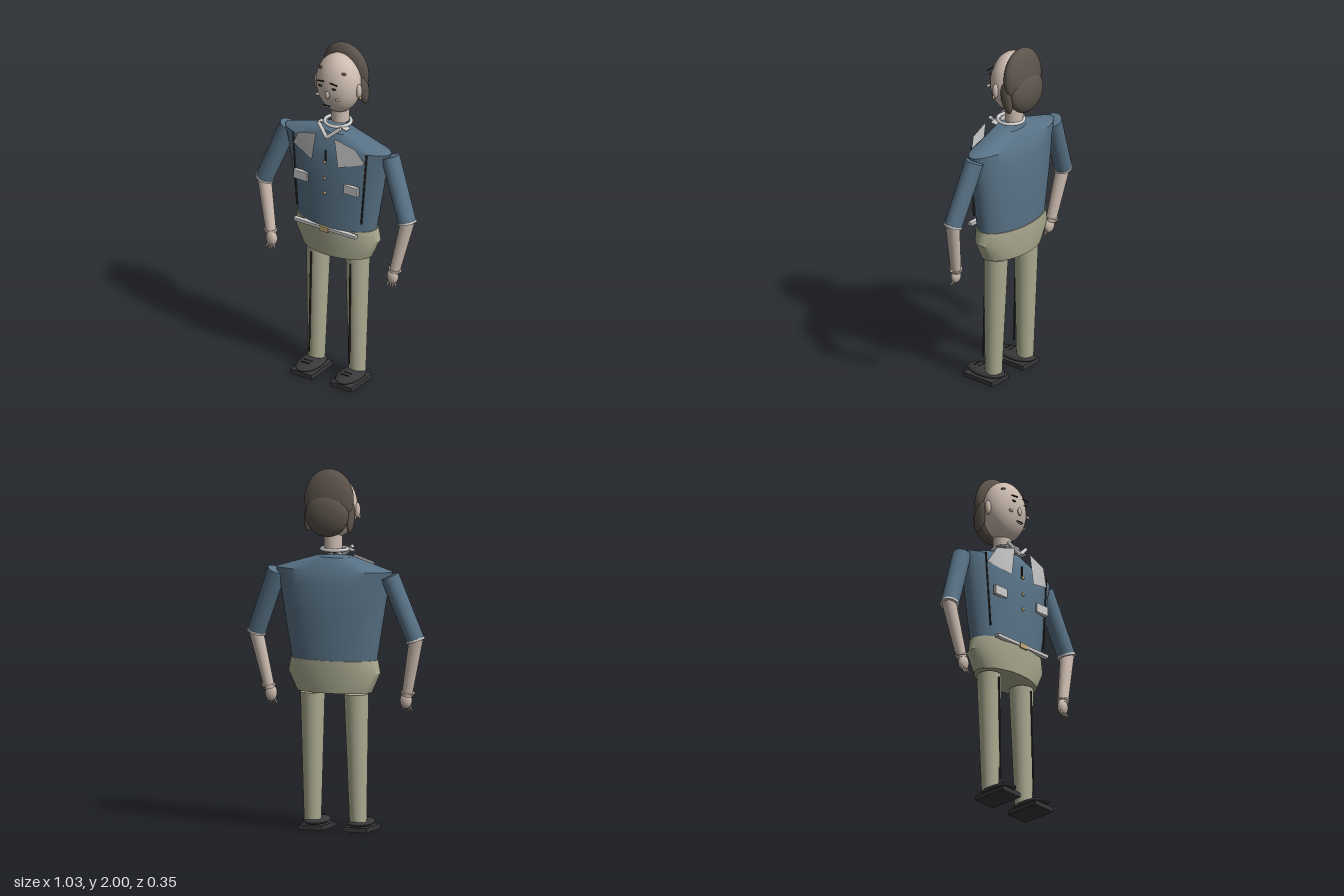
import * as THREE from 'three';
import { toCreasedNormals } from 'three/addons/utils/BufferGeometryUtils.js';

const mat = (color) => new THREE.MeshStandardMaterial({ color, side: THREE.DoubleSide });
const skin = mat(0xcdbcb0), hair = mat(0x5c534b), shirt = mat(0x587286), trousers = mat(0xabab91);
const white = mat(0xd4d4d0), dark = mat(0x35322f), shoe = mat(0x38383a), gold = mat(0xc2a878);
const V = (p) => new THREE.Vector3(...p);

export function createModel() {
  const model = new THREE.Group();
  model.name = 'standingFigure';

  const add = (name, geometry, material, pos = [0, 0, 0], rot = [0, 0, 0]) => {
    const m = new THREE.Mesh(geometry, material);
    m.name = name;
    m.position.set(...pos);
    m.rotation.set(...rot);
    model.add(m);
    return m;
  };
  const ball = (name, material, pos, r, rot) =>
    add(name, new THREE.SphereGeometry(1, 32, 20).scale(...r), material, pos, rot);
  const box = (name, material, pos, size, rot) =>
    add(name, new THREE.BoxGeometry(...size), material, pos, rot);
  // Tapered round limb between two points
  const limb = (name, material, a, b, ra, rb, sides = 24) => {
    const from = V(a), dir = V(b).sub(from);
    const m = add(name, new THREE.CylinderGeometry(rb, ra, dir.length(), sides), material);
    m.position.copy(from).addScaledVector(dir, 0.5);
    m.quaternion.setFromUnitVectors(new THREE.Vector3(0, 1, 0), dir.normalize());
    return m;
  };
  // Elliptical body from sections [y, half width, front z, back z], top first
  const loft = (name, material, rows) => {
    const n = rows.length - 1;
    const g = new THREE.CylinderGeometry(1, 1, 1, 48, n);
    const p = g.attributes.position;
    for (let i = 0; i < p.count; i++) {
      const [y, w, front, back] = rows[Math.round((0.5 - p.getY(i)) * n)];
      p.setXYZ(i, p.getX(i) * w, y, (front + back) / 2 + p.getZ(i) * (front - back) / 2);
    }
    return add(name, toCreasedNormals(g, 0.6), material);
  };

  // Torso and hips
  loft('shirtBody', shirt, [
    [1.51, 0.11, 0.06, -0.08], [1.44, 0.34, 0.09, -0.12], [1.36, 0.315, 0.108, -0.135],
    [1.2, 0.288, 0.115, -0.145], [0.95, 0.245, 0.115, -0.14],
  ]);
  loft('hips', trousers, [
    [0.95, 0.25, 0.12, -0.145], [0.875, 0.265, 0.118, -0.145], [0.77, 0.215, 0.105, -0.13],
  ]);

  // Head, neck and hair
  const head = ball('head', skin, [0, 1.785, -0.02], [0.133, 0.175, 0.107]);
  const hp = head.geometry.attributes.position;
  for (let i = 0; i < hp.count; i++) {
    const k = 1 + 0.35 * Math.min(0, hp.getY(i) + 0.03);
    hp.setX(i, hp.getX(i) * k);
  }
  limb('neck', skin, [0, 1.55, -0.035], [0, 1.66, -0.035], 0.05, 0.052);
  ball('hairCap', hair, [0, 1.835, -0.095], [0.143, 0.165, 0.06], [0.08, 0, 0]);
  ball('hairBack', hair, [0, 1.75, -0.123], [0.125, 0.12, 0.055]);

  // Face
  ball('nose', skin, [0, 1.755, 0.095], [0.014, 0.024, 0.009]);
  box('mouth', dark, [0, 1.692, 0.097], [0.045, 0.006, 0.006]);
  box('lowerLip', skin, [0, 1.684, 0.095], [0.03, 0.006, 0.006]);

  // Shirt front
  for (const y of [1.35, 1.25, 1.16])
    ball('button', gold, [0, y, 0.12], [0.01, 0.01, 0.006]);
  box('placket', dark, [0, 1.385, 0.112], [0.006, 0.07, 0.008]);
  add('collarRing', new THREE.TorusGeometry(0.072, 0.01, 10, 40), white, [0, 1.55, -0.012], [Math.PI / 2, 0, 0]);
  box('belt', white, [0, 0.942, 0.112], [0.4, 0.018, 0.025]);
  box('beltBuckle', gold, [0, 0.938, 0.122], [0.055, 0.03, 0.012]);

  for (const s of [-1, 1]) {
    // Sides of the head
    ball('ear', skin, [s * 0.135, 1.77, -0.015], [0.016, 0.043, 0.018]);
    ball('earring', gold, [s * 0.146, 1.735, -0.012], [0.007, 0.012, 0.007]);
    ball('hairLock', hair, [s * 0.122, 1.74, -0.085], [0.022, 0.088, 0.036], [0.2, 0, 0]);
    box('brow', dark, [s * 0.043, 1.834, 0.098], [0.046, 0.006, 0.006], [0, 0, s * -0.1]);
    ball('eye', dark, [s * 0.045, 1.804, 0.097], [0.014, 0.006, 0.005]);
    ball('cheek', skin, [s * 0.066, 1.742, 0.092], [0.015, 0.008, 0.006]);
    ball('templeMark', hair, [s * 0.077, 1.884, 0.044], [0.014, 0.008, 0.006], [-0.7, s * 0.5, 0]);

    // Collar, lapel, pocket and seam
    limb('collarBar', white, [s * 0.072, 1.558, 0.072], [0, 1.495, 0.1], 0.011, 0.011, 8);
    add('collarTip', new THREE.BoxGeometry(0.05, 0.008, 0.04), white, [s * 0.072, 1.545, 0.03], [0, 0, s * -0.25]);
    const lapel = new THREE.BufferGeometry();
    lapel.setAttribute('position', new THREE.Float32BufferAttribute([
      s * 0.06, 1.51, 0.115, s * 0.185, 1.475, 0.1, s * 0.235, 1.385, 0.075, s * 0.085, 1.34, 0.118,
    ], 3));
    lapel.setIndex(s > 0 ? [0, 3, 1, 1, 3, 2] : [0, 1, 3, 1, 2, 3]);
    lapel.computeVertexNormals();
    add('lapel', lapel, white);
    box('chestPocket', white, [s * 0.163, 1.217, 0.103], [0.088, 0.052, 0.022]);
    limb('shirtSeam', dark, [s * 0.24, 1.44, 0.068], [s * 0.21, 1.01, 0.075], 0.005, 0.005, 8);

    // Arm
    limb('sleeve', shirt, [s * 0.33, 1.42, -0.03], [s * 0.465, 1.07, 0.008], 0.052, 0.05);
    limb('sleeveCuff', white, [s * 0.463, 1.076, 0.008], [s * 0.467, 1.064, 0.009], 0.053, 0.053);
    limb('forearm', skin, [s * 0.47, 1.08, 0.008], [s * 0.402, 0.755, 0.04], 0.039, 0.029);
    limb('bracelet', skin, [s * 0.406, 0.776, 0.038], [s * 0.404, 0.766, 0.039], 0.036, 0.036);
    ball('braceletBead', skin, [s * 0.441, 0.772, 0.04], [0.008, 0.008, 0.008]);
    ball('palm', skin, [s * 0.395, 0.73, 0.046], [0.034, 0.046, 0.024]);
    for (let i = 0; i < 4; i++) {
      const d = i - 1.5;
      limb('finger', skin, [s * (0.395 + d * 0.011), 0.705, 0.05],
        [s * (0.395 + d * 0.019), 0.664 + Math.abs(d) * 0.005, 0.06], 0.007, 0.004, 8);
    }

    // Leg
    limb('trouserLeg', trousers, [s * 0.128, 0.76, -0.014], [s * 0.133, 0.05, -0.001], 0.067, 0.047, 32);
    limb('trouserCrease', dark, [s * 0.128, 0.73, 0.06], [s * 0.131, 0.12, 0.075], 0.005, 0.005, 8);

    // Shoe
    box('sole', shoe, [s * 0.13, 0.013, 0.055], [0.14, 0.026, 0.205]);
    ball('shoeUpper', shoe, [s * 0.13, 0.045, 0.054], [0.068, 0.025, 0.12]);
    for (const z of [0.085, 0.115])
      box('lace', dark, [s * 0.13, 0.069, z], [0.05, 0.005, 0.006]);
  }
  return model;
}
